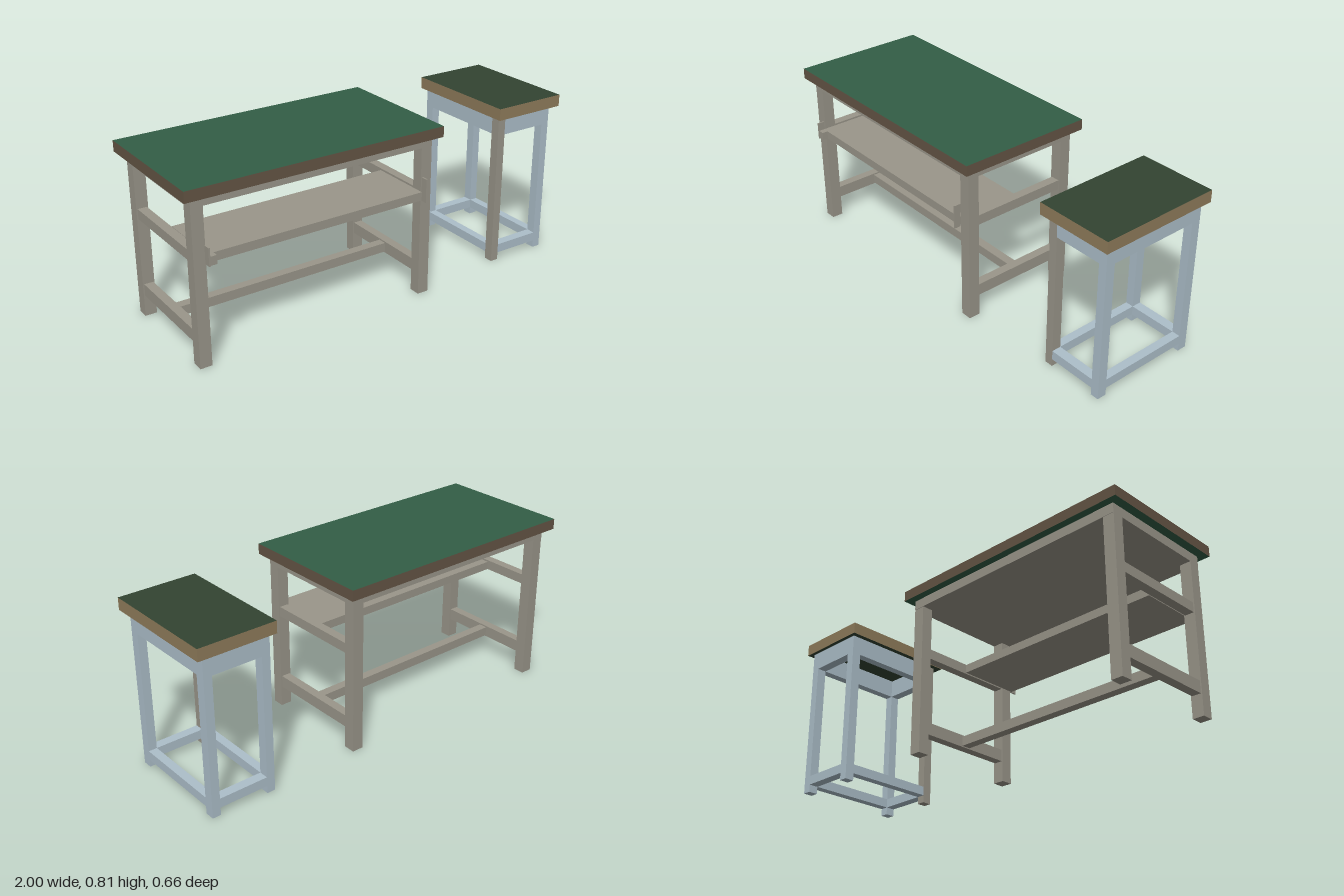
import * as THREE from 'three';

const mat = (name, color) => {
  const m = new THREE.MeshStandardMaterial({ color });
  m.name = name;
  return m;
};

// Box given by its limits on each axis
function box(parent, name, material, [x0, x1], [y0, y1], [z0, z1]) {
  const mesh = new THREE.Mesh(new THREE.BoxGeometry(x1 - x0, y1 - y0, z1 - z0), material);
  mesh.position.set((x0 + x1) / 2, (y0 + y1) / 2, (z0 + z1) / 2);
  mesh.name = name;
  parent.add(mesh);
  return mesh;
}

// Edges of one colour with top and underside of another
const slabMaterials = (edge, face) => [edge, edge, face, face, edge, edge];

function createDesk() {
  const desk = new THREE.Group();
  desk.name = 'desk';
  const grey = mat('warmGreyPaint', 0x9a968a);
  const brown = mat('darkBrownEdge', 0x645545);
  const green = mat('greenTop', 0x335e46);

  box(desk, 'deskTop', slabMaterials(brown, green), [-1, 0.25], [0.765, 0.815], [-0.328, 0.328]);
  box(desk, 'deskApron', grey, [-0.96, 0.215], [0.72, 0.765], [-0.292, 0.292]);

  const sides = [[-0.96, -0.905], [0.16, 0.215]];
  for (const x of sides) {
    for (const z of [[0.236, 0.291], [-0.291, -0.236]]) {
      box(desk, 'deskLeg', grey, x, [0, 0.72], z);
    }
    const railX = [x[0] + 0.006, x[1] - 0.006];
    box(desk, 'deskLowerSideRail', grey, railX, [0.1, 0.157], [-0.236, 0.236]);
    box(desk, 'deskUpperSideRail', grey, railX, [0.473, 0.52], [-0.236, 0.236]);
  }

  // Centre stretcher and half-depth book shelf
  box(desk, 'deskStretcher', grey, [-0.911, 0.166], [0.105, 0.15], [-0.022, 0.022]);
  box(desk, 'deskShelf', grey, [-0.905, 0.16], [0.475, 0.515], [-0.01, 0.3]);

  // Hooks at the front corners of the shelf
  box(desk, 'leftHook', grey, [-0.912, -0.905], [0.473, 0.555], [0.298, 0.33]);
  box(desk, 'hookFoot', grey, [-0.905, -0.875], [0.475, 0.515], [0.3, 0.328]);
  box(desk, 'rightHook', grey, [0.16, 0.167], [0.473, 0.585], [0.298, 0.33]);
  return desk;
}

function createStool() {
  const stool = new THREE.Group();
  stool.name = 'stool';
  const blue = mat('paleBluePaint', 0xadbfca);
  const grey = mat('bareGreyLeg', 0x9a968a);
  const brown = mat('lightBrownEdge', 0x8f7c5b);
  const green = mat('darkGreenSeat', 0x334432);

  box(stool, 'stoolSeat', slabMaterials(brown, green), [0.63, 1], [0.742, 0.798], [-0.318, 0.267]);

  const xs = [[0.655, 0.695], [0.93, 0.97]];
  const zs = [[-0.3, -0.254], [0.188, 0.233]];
  xs.forEach((x, i) => zs.forEach((z, j) => {
    // The front leg on one side is unpainted
    box(stool, 'stoolLeg', i === 0 && j === 1 ? grey : blue, x, [0, 0.742], z);
  }));

  // Apron and foot rails on all four sides
  for (const [name, y] of [['stoolApron', [0.652, 0.742]], ['stoolFootRail', [0.036, 0.08]]]) {
    for (const z of zs) box(stool, name, blue, [0.695, 0.93], y, z);
    for (const x of xs) box(stool, name, blue, x, y, [-0.254, 0.188]);
  }
  return stool;
}

export function createModel() {
  const model = new THREE.Group();
  model.name = 'deskAndStool';
  model.add(createDesk(), createStool());
  return model;
}
